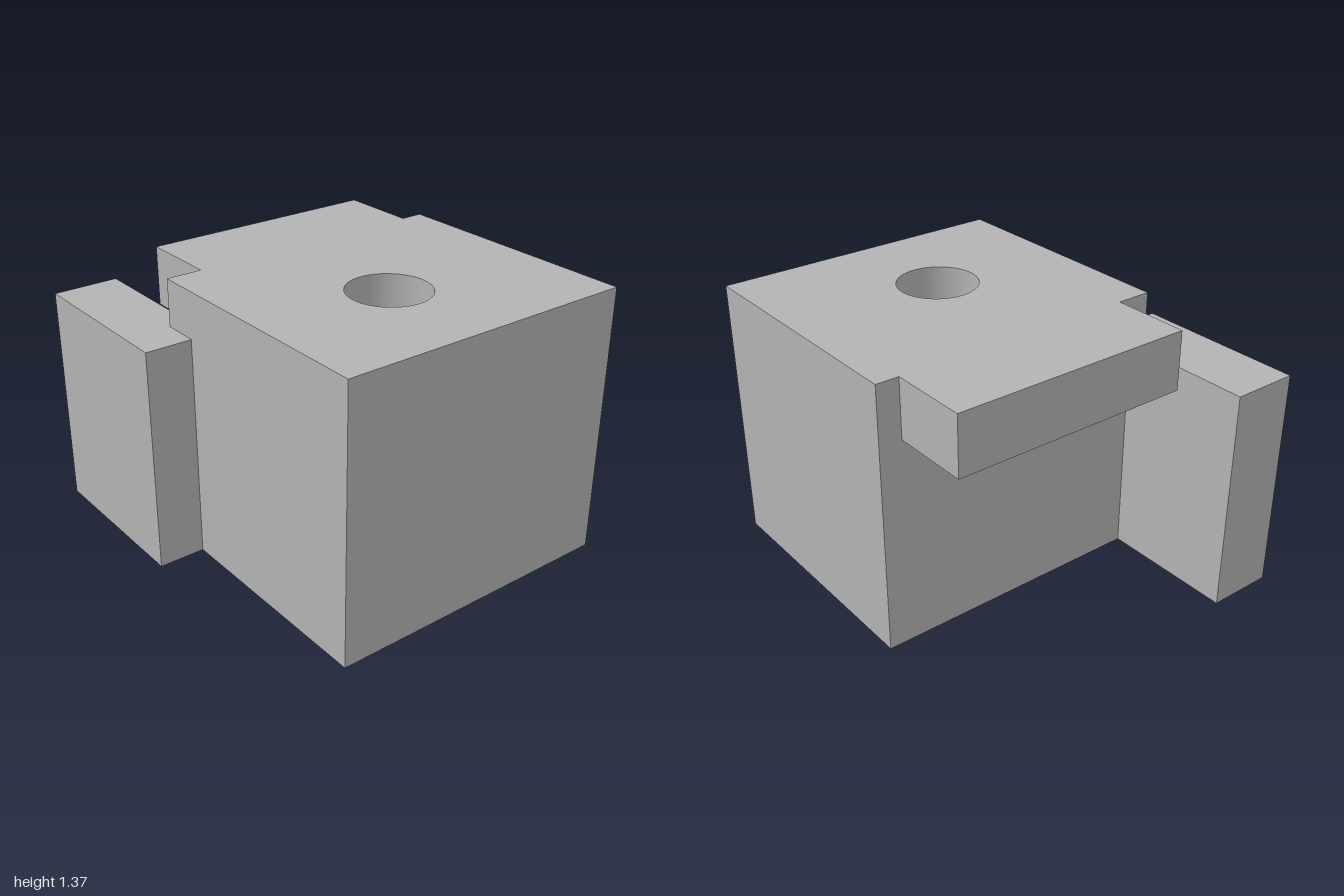
import * as THREE from 'three';
import { toCreasedNormals } from 'three/addons/utils/BufferGeometryUtils.js';

const grey = new THREE.MeshStandardMaterial({ color: 0xb3b3b3 });
grey.name = 'grey';

// Upright prism from a plan outline of [x, z] points, with an optional round hole
function prism(name, plan, bottom, top, hole) {
  const shape = new THREE.Shape(plan.map(([x, z]) => new THREE.Vector2(x, -z)));
  if (hole) {
    shape.holes.push(new THREE.Path().absarc(hole.x, -hole.z, hole.r, 0, Math.PI * 2, true));
  }
  const geometry = new THREE.ExtrudeGeometry(shape, {
    depth: top - bottom, bevelEnabled: false, curveSegments: 64,
  });
  geometry.rotateX(-Math.PI / 2);
  geometry.translate(0, bottom, 0);
  const mesh = new THREE.Mesh(toCreasedNormals(geometry, 0.5), grey);
  mesh.name = name;
  return mesh;
}

const rect = (x0, x1, z0, z1) => [[x0, z1], [x1, z1], [x1, z0], [x0, z0]];

export function createModel() {
  const model = new THREE.Group();
  model.name = 'block';
  const side = -0.305, front = 0.645, height = 1.365;

  // Main block with a vertical through hole
  model.add(prism('body', rect(side, 1, -0.88, front), 0, height, { x: 0.41, z: -0.06, r: 0.2 }));

  // Overhanging ledge flush with the top
  model.add(prism('ledge', rect(-0.705, side, -0.765, 0.465), 1.067, height));

  // Lower slab wrapping the front corner of the body
  model.add(prism('cornerSlab', [
    [-1, 0.88], [-0.12, 0.88], [-0.12, front], [side, front], [side, 0.545], [-1, 0.545],
  ], 0, 1.13));

  return model;
}
